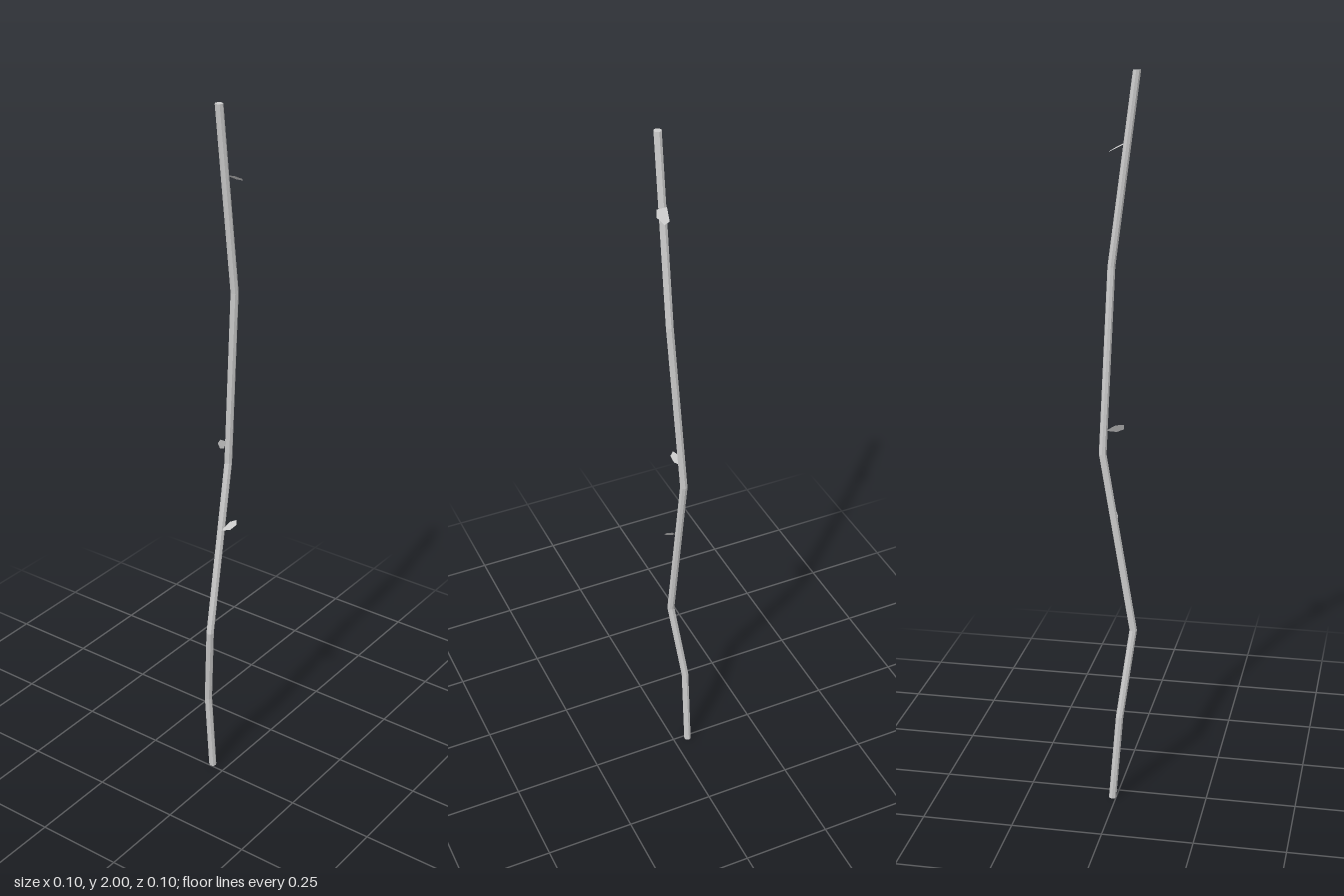
import * as THREE from 'three';

const material = new THREE.MeshStandardMaterial({ color: 0xcccccc, flatShading: true });
const leafMaterial = new THREE.MeshStandardMaterial({ color: 0xcccccc, flatShading: true, side: THREE.DoubleSide });

// Centre of the stem at each bend, bottom to top
const bends = [
  [-0.042, 0, -0.01], [-0.042, 0.25, 0.01], [-0.011, 0.5, 0.042],
  [-0.011, 1, -0.042], [0.021, 1.5, -0.024], [0.021, 2, 0.042],
].map((p) => new THREE.Vector3(...p));

// Thin stem: each level ring of a cylinder is shifted to its bend
function makeStem() {
  const steps = bends.length - 1;
  const geometry = new THREE.CylinderGeometry(0.0105, 0.0105, steps, 8, steps);
  const pos = geometry.attributes.position;
  for (let i = 0; i < pos.count; i++) {
    const bend = bends[Math.round(pos.getY(i) + steps / 2)];
    pos.setXYZ(i, pos.getX(i) + bend.x, bend.y, pos.getZ(i) + bend.z);
  }
  geometry.computeVertexNormals();
  const stem = new THREE.Mesh(geometry, material);
  stem.name = 'stem';
  return stem;
}

// Flat leaf: pointed at the stem, widest past the middle, blunt at the end
const outline = [[0, 0], [0.6, -0.5], [1, -0.3], [1, 0.3], [0.6, 0.5]];

function makeLeaf(name, base, along, across) {
  const points = outline.map(([u, v]) => new THREE.Vector3(...base)
    .addScaledVector(new THREE.Vector3(...along), u)
    .addScaledVector(new THREE.Vector3(...across), v));
  const geometry = new THREE.BufferGeometry().setFromPoints(points);
  geometry.setIndex([0, 1, 2, 0, 2, 3, 0, 3, 4]);
  geometry.computeVertexNormals();
  const leaf = new THREE.Mesh(geometry, leafMaterial);
  leaf.name = name;
  return leaf;
}

export function createModel() {
  const model = new THREE.Group();
  model.name = 'twig';
  model.add(
    makeStem(),
    makeLeaf('lowerLeaf', [-0.006, 0.808, -0.003], [0.038, 0.03, -0.018], [-0.01, 0.016, -0.014]),
    makeLeaf('middleLeaf', [-0.011, 1.065, -0.035], [0.01, 0.01, 0.049], [0.012, -0.022, 0]),
    makeLeaf('upperLeaf', [0.013, 1.815, 0.008], [0.031, -0.015, -0.032], [0.019, 0.02, 0.033]),
  );
  return model;
}
